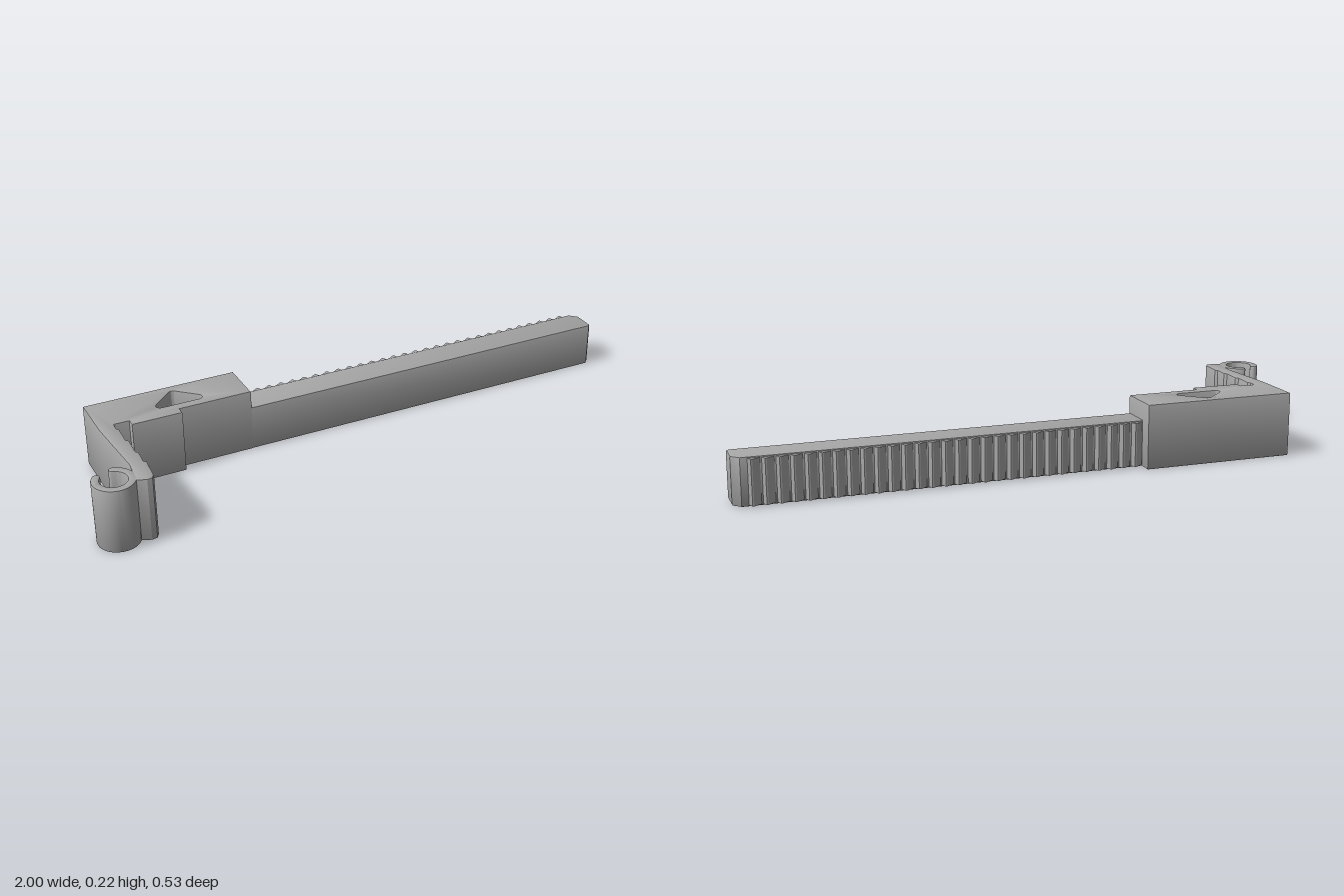
import * as THREE from 'three';
import { toCreasedNormals } from 'three/addons/utils/BufferGeometryUtils.js';

const grey = new THREE.MeshStandardMaterial({ color: 0xa6a6a6 });
grey.name = 'plain grey';

// Plan points are [x, z]; the shape is extruded upward from y = 0.
const toPlan = (pts) => pts.map(([x, z]) => new THREE.Vector2(x, -z));

function plate(name, outline, height, { hole, bevel = 0.004, base = 0 } = {}) {
  const shape = new THREE.Shape(toPlan(outline));
  if (hole) shape.holes.push(new THREE.Path(toPlan(hole)));
  const geo = new THREE.ExtrudeGeometry(shape, {
    depth: height - 2 * bevel,
    bevelEnabled: bevel > 0,
    bevelSize: bevel,
    bevelThickness: bevel,
    bevelOffset: -bevel,
    bevelSegments: 2,
  });
  geo.rotateX(-Math.PI / 2);
  geo.translate(0, base + bevel, 0);
  const mesh = new THREE.Mesh(toCreasedNormals(geo, 0.5), grey);
  mesh.name = name;
  return mesh;
}

// Points on an arc, angles in degrees, counter-clockwise seen from above.
function arc(cx, cz, r, from, to, n, skipEnds = false) {
  const pts = [];
  for (let i = skipEnds ? 1 : 0; i <= (skipEnds ? n - 1 : n); i++) {
    const a = THREE.MathUtils.degToRad(from + ((to - from) * i) / n);
    pts.push([cx + r * Math.cos(a), cz - r * Math.sin(a)]);
  }
  return pts;
}

export function createModel() {
  const group = new THREE.Group();
  group.name = 'toothedRailClip';

  // Block with front pad and the bent arm, pierced by a rounded triangle
  const body = [
    [-0.355, -0.266], [-0.88, -0.266], [-0.88, -0.1], [-0.873, 0], [-0.862, 0.14],
    [-0.868, 0.19], [-0.878, 0.23], [-0.842, 0.244], [-0.824, 0.241], [-0.815, 0.228],
    [-0.808, 0.145], [-0.816, 0.138], [-0.812, 0.083], [-0.82, 0.075],
    [-0.816, 0.005], [-0.824, -0.003], [-0.821, -0.075], [-0.828, -0.085], [-0.826, -0.112],
    [-0.775, -0.112], [-0.775, -0.085], [-0.605, -0.085], [-0.605, -0.112], [-0.355, -0.112],
  ];
  const hole = [
    ...arc(-0.588, -0.22, 0.014, 50, 130, 6),
    ...arc(-0.653, -0.16, 0.014, 130, 270, 8),
    ...arc(-0.523, -0.16, 0.014, 270, 410, 8),
  ];
  group.add(plate('blockAndArm', body, 0.22, { hole }));

  // Open ring with rounded lips
  const cx = -0.931, cz = 0.197, outer = 0.069, inner = 0.043;
  const a0 = 142, a1 = 435, mid = (outer + inner) / 2, cap = (outer - inner) / 2;
  const [lipA] = arc(cx, cz, mid, a0, a0, 1);
  const [lipB] = arc(cx, cz, mid, a1, a1, 1);
  const ring = [
    ...arc(cx, cz, outer, a0, a1, 48),
    ...arc(...lipB, cap, a1, a1 + 180, 8, true),
    ...arc(cx, cz, inner, a1, a0, 48),
    ...arc(...lipA, cap, a0 + 180, a0 + 360, 8, true),
  ];
  group.add(plate('snapRing', ring, 0.22));

  // Long rail with a chamfered back corner
  const rail = [
    [-0.365, -0.112], [0.992, -0.112], [1, -0.12], [1, -0.194],
    [0.975, -0.219], [-0.365, -0.219],
  ];
  group.add(plate('rail', rail, 0.158, { bevel: 0.006 }));

  // Sawtooth strip along the back of the rail
  const count = 30, start = -0.355, pitch = 0.0437;
  const teeth = [[start, -0.212]];
  for (let i = 0; i < count; i++) {
    const x = start + i * pitch;
    teeth.push([x, -0.218], [x + pitch * 0.62, -0.236], [x + pitch * 0.74, -0.236], [x + pitch * 0.92, -0.218]);
  }
  teeth.push([start + count * pitch, -0.212]);
  group.add(plate('railTeeth', teeth, 0.148, { bevel: 0, base: 0.005 }));

  return group;
}
